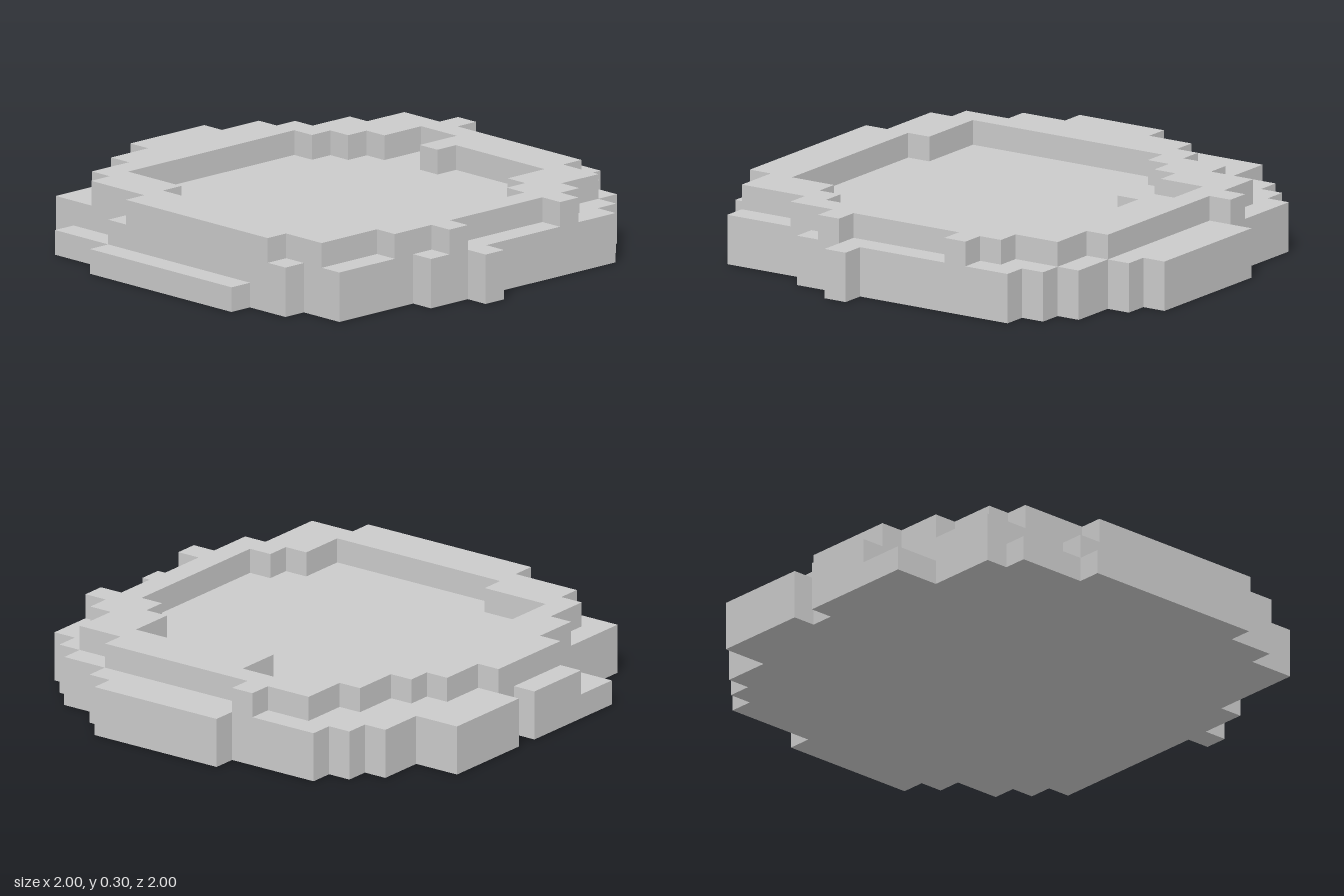
import * as THREE from 'three';

const material = new THREE.MeshStandardMaterial({ color: 0xcccccc, flatShading: true });
const CELL = 0.1;

// Stepped outline in cells: start at (x, z), then alternate new x, new z, new x ...
function stepped(x, z, steps, Type = THREE.Shape) {
  const path = new Type();
  path.moveTo(x * CELL, z * CELL);
  steps.forEach((v, i) => {
    if (i % 2 === 0) x = v;
    else z = v;
    path.lineTo(x * CELL, z * CELL);
  });
  path.closePath();
  return path;
}

// Slab of a plan outline between two heights (in cells)
function slab(name, shape, bottom, top) {
  const geometry = new THREE.ExtrudeGeometry(shape, { depth: (top - bottom) * CELL, bevelEnabled: false });
  geometry.rotateX(Math.PI / 2).translate(0, top * CELL, 0);
  const mesh = new THREE.Mesh(geometry, material);
  mesh.name = name;
  return mesh;
}

export function createModel() {
  const group = new THREE.Group();
  group.name = 'steppedBasin';

  // Base, whose top is also the basin floor
  const base = stepped(-3, -10, [
    0, -9, 1, -10, 5, -8, 7, -7, 8, -6, 9, -2, 10, 4, 9, 5, 8, 7, 7, 8, 6, 9,
    -1, 10, -2, 9, -4, 8, -8, 6, -9, -4, -8, -8, -3,
  ]);
  group.add(slab('base', base, 0, 2));

  // Raised rim around the sunken floor
  const rim = stepped(-3, -9, [
    1, -8, 3, -7, 4, -6, 6, -5, 8, -3, 9, -2, 8, 5, 7, 7, 5, 8, 4, 9, 3, 8,
    -2, 9, -3, 8, -5, 7, -8, 5, -9, -3, -8, -6, -7, -7, -5, -8, -3,
  ]);
  rim.holes.push(stepped(-6, -6, [
    3, -5, 4, -4, 5, -3, 7, -1, 5, 0, 6, 5, 4, 6, 3, 7, -4, 6, -5, 5, -7, -3, -6,
  ], THREE.Path));
  group.add(slab('rim', rim, 2, 3));

  // Low ledges on the back and right: x from/to, z from/to
  const ledges = {
    backLedge: [-5, -3, -10, -8],
    cornerLedge: [-9, -8, -7, -4],
    sideLedge: [-10, -9, -4, 4],
  };
  for (const [name, [x0, x1, z0, z1]] of Object.entries(ledges)) {
    group.add(slab(name, stepped(x0, z0, [x1, z1, x0]), 0, 1));
  }
  return group;
}
